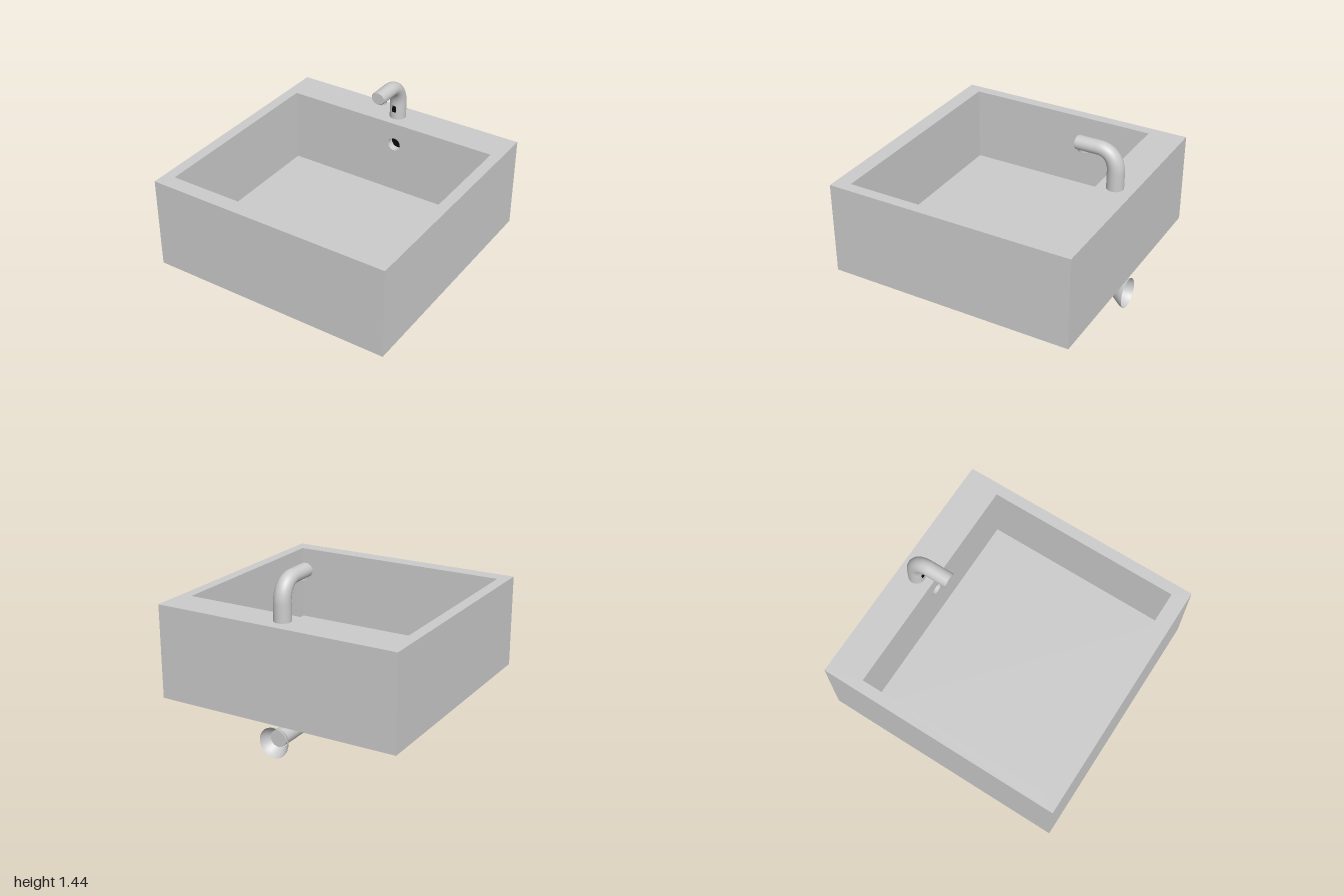
import * as THREE from 'three';
import { RoundedBoxGeometry } from 'three/addons/geometries/RoundedBoxGeometry.js';

const grey = new THREE.MeshStandardMaterial({ color: 0xcccccc });
const greyBoth = new THREE.MeshStandardMaterial({ color: 0xcccccc, side: THREE.DoubleSide });
const black = new THREE.MeshStandardMaterial({ color: 0x080808 });

function add(parent, name, geometry, material, x = 0, y = 0, z = 0, rx = 0, ry = 0) {
  const mesh = new THREE.Mesh(geometry, material);
  mesh.name = name;
  mesh.position.set(x, y, z);
  mesh.rotation.set(rx, ry, 0);
  parent.add(mesh);
  return mesh;
}

// Flat rectangle from corner to corner, facing +z before it is turned
function rect(x0, y0, x1, y1, hole) {
  const s = new THREE.Shape();
  s.moveTo(x0, y0).lineTo(x1, y0).lineTo(x1, y1).lineTo(x0, y1).closePath();
  if (hole) s.holes.push(hole);
  return s;
}

function createBasin() {
  const basin = new THREE.Group();
  basin.name = 'basin';
  const bottom = 0.34, floor = 0.47, top = 1.09, D = 0.995;
  const inX = 0.912, back = -0.71, front = 0.87;
  const H = Math.PI / 2;
  const face = (name, shape, ...place) =>
    add(basin, name, new THREE.ShapeGeometry(shape, 32), grey, ...place);

  // Outer shell
  face('outerFront', rect(-1, bottom, 1, top), 0, 0, D);
  face('outerBack', rect(-1, bottom, 1, top), 0, 0, -D, 0, Math.PI);
  for (const s of [-1, 1]) face('outerSide', rect(-D, bottom, D, top), s, 0, 0, 0, s * H);
  face('underside', rect(-1, -D, 1, D), 0, bottom, 0, H);

  // Rim around the bowl opening, and the bowl floor
  face('rim', rect(-1, -D, 1, D, rect(-inX, -front, inX, -back)), 0, top, 0, -H);
  face('bowlFloor', rect(-inX, -front, inX, -back), 0, floor, 0, -H);

  // Bowl walls, the back one pierced by the overflow
  const hx = 0.05, hy = 0.9, hr = 0.055;
  const hole = new THREE.Path().absarc(hx, hy, hr, 0, Math.PI * 2, true);
  face('bowlBack', rect(-inX, floor, inX, top, hole), 0, 0, back);
  face('bowlFront', rect(-inX, floor, inX, top), 0, 0, front, 0, Math.PI);
  face('bowlLeft', rect(back, floor, front, top), inX, 0, 0, 0, -H).scale.x = 1;
  face('bowlRight', rect(-front, floor, -back, top), -inX, 0, 0, 0, H);

  // Overflow recess
  const depth = 0.06;
  add(basin, 'overflowSleeve', new THREE.CylinderGeometry(hr, hr, depth, 32, 1, true),
    greyBoth, hx, hy, back - depth / 2, H);
  add(basin, 'overflowOpening', new THREE.CircleGeometry(hr, 32), black, hx, hy, back - depth);
  return basin;
}

function createFaucet() {
  const faucet = new THREE.Group();
  faucet.name = 'faucet';
  const v = (y, z) => new THREE.Vector3(0, y, z);
  const path = new THREE.CurvePath();
  path.add(new THREE.LineCurve3(v(1.09, -0.845), v(1.22, -0.845)));
  path.add(new THREE.CubicBezierCurve3(v(1.22, -0.845), v(1.32, -0.845), v(1.388, -0.79), v(1.388, -0.7)));
  path.add(new THREE.LineCurve3(v(1.388, -0.7), v(1.388, -0.525)));

  // Tapered sweep: each ring of a unit tube is drawn in to its own width and height
  const rings = 60, sides = 32;
  const body = new THREE.TubeGeometry(path, rings, 1, sides);
  const pos = body.attributes.position;
  for (let i = 0; i <= rings; i++) {
    const t = i / rings;
    const c = path.getPointAt(t);
    const ease = THREE.MathUtils.smoothstep(t, 0.2, 0.7);
    const tip = i === rings ? 0.9 : 1;
    const wide = (0.067 - 0.006 * ease) * tip;
    const high = (0.066 - 0.013 * ease) * tip;
    for (let j = 0; j <= sides; j++) {
      const k = i * (sides + 1) + j;
      pos.setXYZ(k, pos.getX(k) * wide,
        c.y + (pos.getY(k) - c.y) * high, c.z + (pos.getZ(k) - c.z) * high);
    }
  }
  add(faucet, 'spoutBody', body, greyBoth);
  add(faucet, 'spoutEnd', new THREE.CircleGeometry(1, sides), grey, 0, 1.388, -0.525)
    .scale.set(0.055, 0.0477, 1);

  // Water outlet under the tip, and the sensor window on the column
  add(faucet, 'outlet', new THREE.CylinderGeometry(0.042, 0.042, 0.03, 24), grey, 0, 1.345, -0.58);
  add(faucet, 'sensor', new RoundedBoxGeometry(0.036, 0.06, 0.02, 3, 0.008), black, 0, 1.18, -0.786);
  return faucet;
}

function createDrain() {
  const drain = new THREE.Group();
  drain.name = 'drain';
  const z = -0.105;
  add(drain, 'trapUpper', new THREE.CylinderGeometry(0.105, 0.105, 0.21, 40), grey, 0, 0.235, z);
  add(drain, 'trapLower', new THREE.CylinderGeometry(0.09, 0.09, 0.14, 40), grey, 0, 0.07, z);

  // Waste pipe running back to a flared wall cover
  const length = 0.8;
  add(drain, 'wastePipe', new THREE.CylinderGeometry(0.067, 0.067, length, 32), grey,
    0, 0.207, -0.93 + length / 2, Math.PI / 2);
  const flare = [[0.066, 0], [0.073, 0.012], [0.09, 0.035], [0.106, 0.06], [0.115, 0.078], [0.12, 0.095]]
    .map(([r, y]) => new THREE.Vector2(r, y));
  add(drain, 'wallCover', new THREE.LatheGeometry(flare, 40), greyBoth, 0, 0.197, -0.9, -Math.PI / 2);
  return drain;
}

export function createModel() {
  const sink = new THREE.Group();
  sink.name = 'sink';
  sink.add(createBasin(), createFaucet(), createDrain());
  return sink;
}
